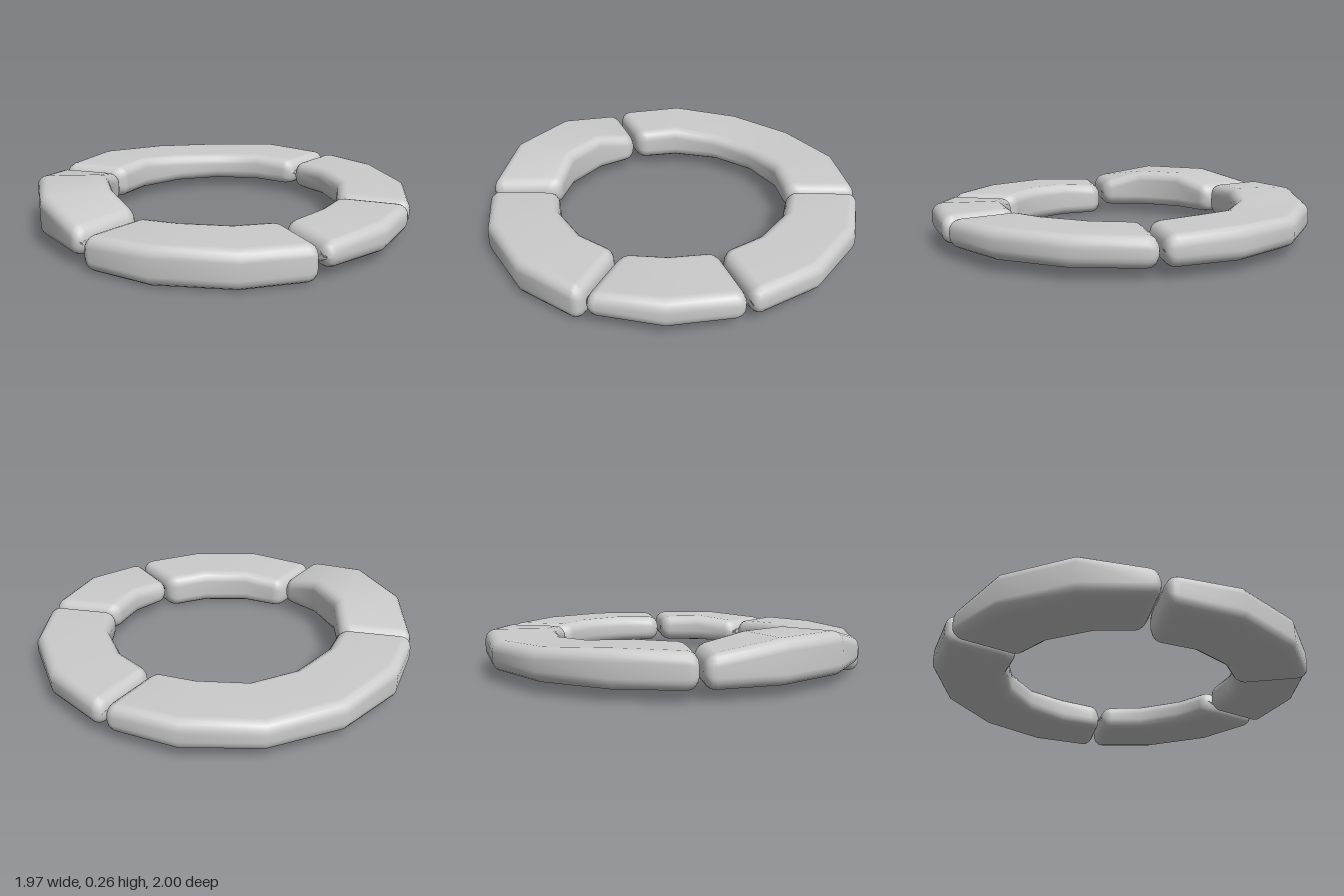
import * as THREE from 'three';

const STEP = Math.PI / 8;      // the ring is a sixteen-sided polygon
const INNER = 0.62, OUTER = 1, GAP = 0.008, BEVEL = 0.055, ARC = 4;

// Rounded rectangle cross-section as [radius, height], shrunk by inset
function section(bottom, top, inset) {
  const points = [];
  const corners = [[OUTER, top, -1, -1], [INNER, top, 1, -1], [INNER, bottom, 1, 1], [OUTER, bottom, -1, 1]];
  corners.forEach(([r, y, sr, sy], q) => {
    const rad = BEVEL - inset * 0.4;
    for (let k = 0; k <= ARC; k++) {
      const a = (q + k / ARC) * Math.PI / 2;
      points.push([
        r + sr * (inset + rad) + rad * Math.cos(a),
        y + sy * (inset + rad) + rad * Math.sin(a),
      ]);
    }
  });
  return points;
}

// One stone: starts at polygon corner `first`, one top height per corner
function stone(name, first, bottom, tops) {
  const last = tops.length - 1;
  const rings = [];

  // Ring at station i, moved by distance d towards station n
  const addRing = (i, n, d, inset) => {
    const here = section(bottom, tops[i], inset), there = section(bottom, tops[n], inset);
    const a = (first + i) * STEP, b = (first + n) * STEP;
    rings.push(here.map(([r, y], j) => {
      const t = d / (r * Math.sin(STEP));
      const u = 1 - t;
      return [
        r * (u * Math.cos(a) + t * Math.cos(b)),
        u * y + t * there[j][1],
        -r * (u * Math.sin(a) + t * Math.sin(b)),
      ];
    }));
  };
  // Rounded end k = 0 (flat face) to ARC (full section)
  const addEnd = (i, n, k) => {
    const a = (k / ARC) * Math.PI / 2;
    addRing(i, n, GAP + BEVEL * (1 - Math.cos(a)), BEVEL * (1 - Math.sin(a)));
  };
  for (let k = 0; k <= ARC; k++) addEnd(0, 1, k);
  for (let i = 1; i < last; i++) addRing(i, i, 0, 0);
  for (let k = ARC; k >= 0; k--) addEnd(last, last - 1, k);

  // Skin between rings, then flat end faces
  const count = rings[0].length, index = [];
  for (let i = 0; i < rings.length - 1; i++) {
    for (let j = 0; j < count; j++) {
      const a = i * count + j, c = i * count + (j + 1) % count;
      index.push(a, a + count, c, c, a + count, c + count);
    }
  }
  const end = (rings.length - 1) * count;
  for (let j = 1; j < count - 1; j++) {
    index.push(0, j, j + 1, end, end + j + 1, end + j);
  }
  const geometry = new THREE.BufferGeometry();
  geometry.setAttribute('position', new THREE.Float32BufferAttribute(rings.flat(2), 3));
  geometry.setIndex(index);
  geometry.computeVertexNormals();
  const mesh = new THREE.Mesh(geometry, new THREE.MeshStandardMaterial({ color: 0xcccccc }));
  mesh.name = name;
  return mesh;
}

export function createModel() {
  const group = new THREE.Group();
  group.name = 'stoneRing';
  group.add(
    stone('backLeftStone', 0, 0.05, [0.19, 0.2, 0.2, 0.195]),
    stone('backRightStone', 3, 0.05, [0.195, 0.21, 0.2, 0.21, 0.23, 0.22]),
    stone('frontRightStone', 8, 0.05, [0.2, 0.26, 0.26, 0.19]),
    stone('frontStone', 11, 0, [0.17, 0.19, 0.19, 0.185]),
    stone('frontLeftStone', 14, 0.05, [0.175, 0.2, 0.195]),
  );
  return group;
}
